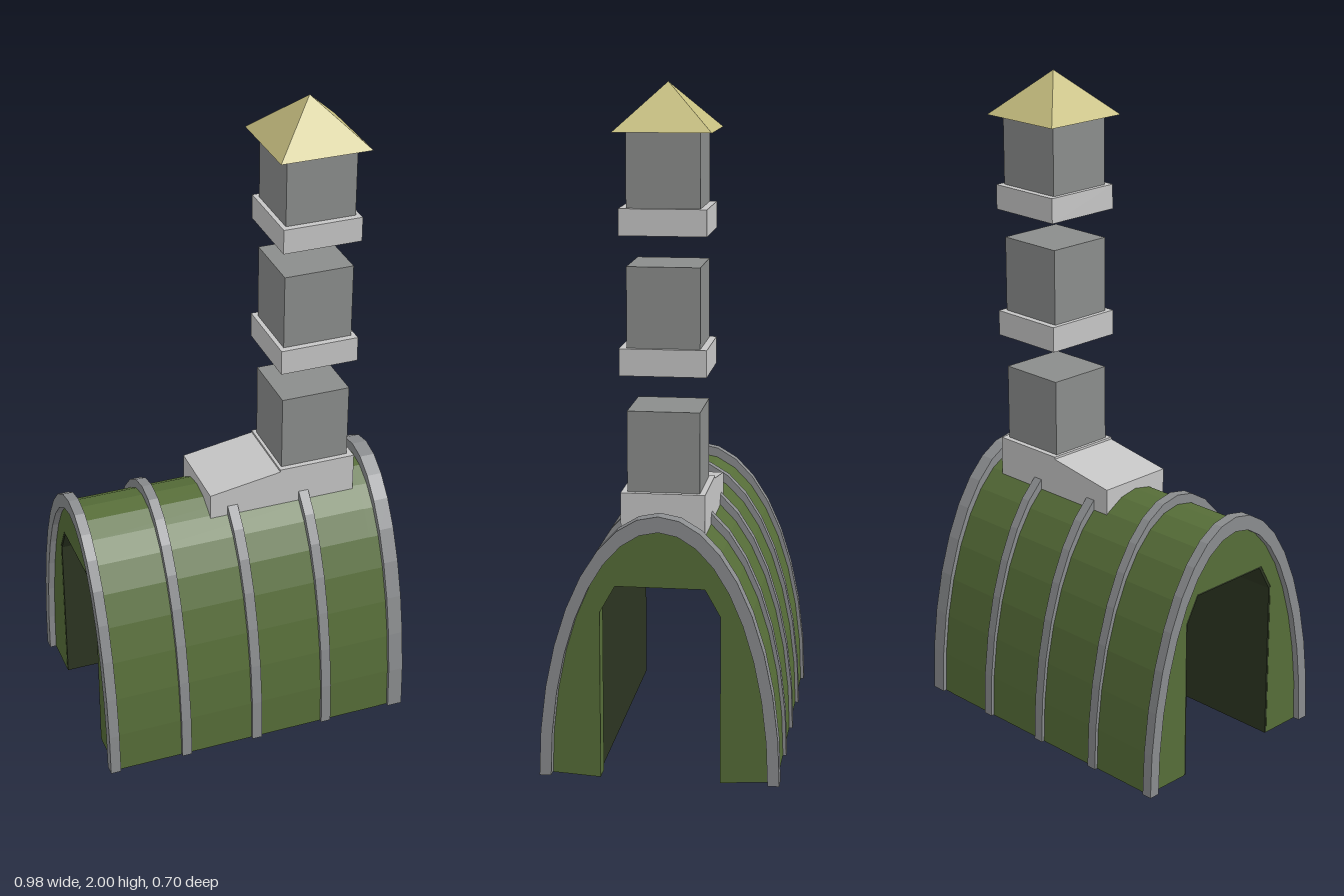
import * as THREE from 'three';

const material = (name, color) => {
  const m = new THREE.MeshStandardMaterial({ color });
  m.name = name;
  return m;
};

export function createModel() {
  const green = material('olive green', 0x566d38);
  const darkGreen = material('shadow green', 0x2c3521);
  const stone = material('tower grey', 0x8b8d8c);
  const ribGrey = material('rib grey', 0x8a8c8e);
  const pale = material('pale grey', 0xc6c6c6);
  const straw = material('straw yellow', 0xc6be80);

  const root = new THREE.Group();
  root.name = 'archedHallWithTower';

  const add = (name, geometry, mat, parent = root) => {
    const mesh = new THREE.Mesh(geometry, mat);
    mesh.name = name;
    parent.add(mesh);
    return mesh;
  };

  // Points along an elliptical arch, from one foot to the other
  const BASE = 0.01;
  const arch = (halfWidth, top, segments = 18) =>
    Array.from({ length: segments + 1 }, (_, i) => {
      const a = (Math.PI * i) / segments;
      return new THREE.Vector2(halfWidth * Math.cos(a), BASE + (top - BASE) * Math.sin(a));
    });

  // Doorway outline with clipped upper corners
  const doorway = (w, top, y = BASE) => [
    [w, y], [w, top - 0.08], [w - 0.045, top], [0.045 - w, top], [-w, top - 0.08], [-w, y],
  ].map(([x, v]) => new THREE.Vector2(x, v));

  // Band between two outlines, extruded along x
  const band = (outer, inner, x0, x1) => {
    const shape = new THREE.Shape([...outer, ...[...inner].reverse()]);
    const g = new THREE.ExtrudeGeometry(shape, { depth: x1 - x0, bevelEnabled: false });
    return g.rotateY(Math.PI / 2).translate(x0, 0, 0);
  };

  // Vaulted hall with its dark tunnel lining and end frame
  add('vault', band(arch(0.34, 0.768), doorway(0.185, 0.59), -0.47, 0.41), green);
  add('tunnelLining', band(doorway(0.185, 0.59), doorway(0.179, 0.584), -0.469, 0.41), darkGreen);
  add('entranceFrame', band(arch(0.339, 0.766), doorway(0.175, 0.58, 0), 0.4, 0.455), green);

  // Ribs over the vault
  const ribs = new THREE.Group();
  ribs.name = 'ribs';
  root.add(ribs);
  [[-0.49, -0.458], [-0.257, -0.226], [-0.024, 0.008], [0.209, 0.24], [0.44, 0.487]]
    .forEach(([x0, x1], i) =>
      add(`rib${i + 1}`, band(arch(0.35, 0.798), arch(0.316, 0.752), x0, x1), ribGrey, ribs));

  // Sloped tower base straddling the ridge
  const tower = new THREE.Group();
  tower.name = 'tower';
  root.add(tower);
  const profile = new THREE.Shape([
    [-0.08, 0.716], [0.39, 0.716], [0.39, 0.84], [0.147, 0.84], [0.147, 0.833], [-0.08, 0.797],
  ].map(([x, y]) => new THREE.Vector2(x, y)));
  const base = new THREE.ExtrudeGeometry(profile, { depth: 0.244, bevelEnabled: false });
  add('towerBase', base.translate(0, 0, -0.122), pale, tower);

  // Stacked blocks and collars with open gaps between storeys
  const cx = 0.265;
  const block = (name, w, d, y0, y1, mat) =>
    add(name, new THREE.BoxGeometry(w, y1 - y0, d), mat, tower).position.set(cx, (y0 + y1) / 2, 0);
  [[0.84, 1.076], [1.255, 1.49], [1.65, 1.868]].forEach(([a, b], i) =>
    block(`towerStorey${i + 1}`, 0.216, 0.21, a, b, stone));
  [[1.18, 1.258], [1.578, 1.654]].forEach(([a, b], i) =>
    block(`towerCollar${i + 1}`, 0.244, 0.25, a, b, pale));

  // Pyramid roof
  let roof = new THREE.ConeGeometry(0.14 * Math.SQRT2, 0.134, 4).rotateY(Math.PI / 4).toNonIndexed();
  roof.computeVertexNormals();
  add('towerRoof', roof, straw, tower).position.set(cx, 1.933, 0);

  return root;
}
